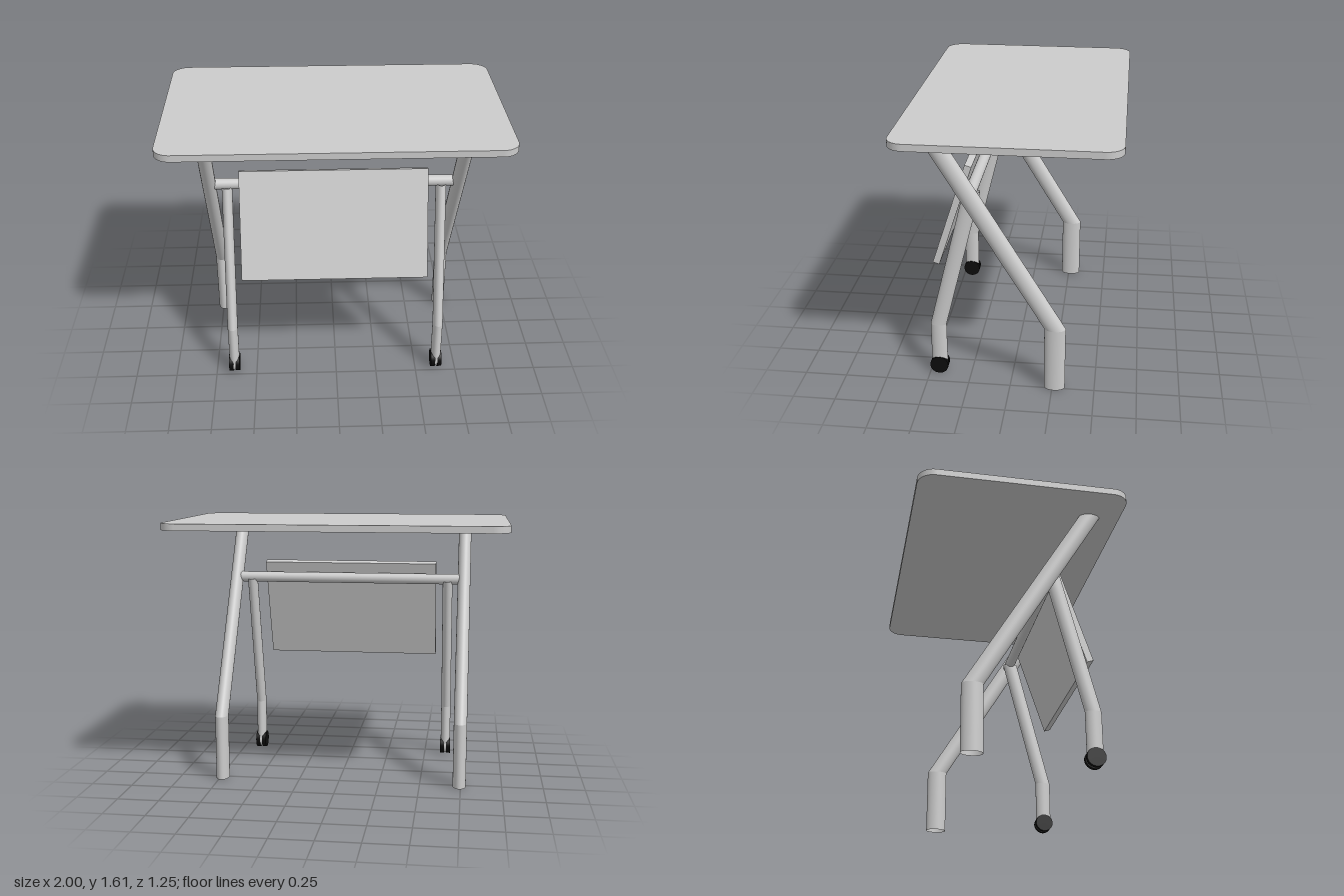
import * as THREE from 'three';

const grey = new THREE.MeshStandardMaterial({ color: 0xcccccc });
const tubeGrey = new THREE.MeshStandardMaterial({ color: 0xcccccc, side: THREE.DoubleSide });
const black = new THREE.MeshStandardMaterial({ color: 0x0c0c0c });

function add(parent, name, geometry, material, x = 0, y = 0, z = 0) {
  const mesh = new THREE.Mesh(geometry, material);
  mesh.name = name;
  mesh.position.set(x, y, z);
  parent.add(mesh);
  return mesh;
}

// Oval tube of level cross-sections through [y, z] points, sheared between them
function ovalLeg(name, x, rx, rz, points) {
  const leg = new THREE.Group();
  leg.name = name;
  for (let i = 1; i < points.length; i++) {
    const [y0, z0] = points[i - 1], [y1, z1] = points[i];
    const shear = new THREE.Matrix4().makeBasis(
      new THREE.Vector3(rx, 0, 0),
      new THREE.Vector3(0, y1 - y0, z1 - z0),
      new THREE.Vector3(0, 0, rz)
    ).setPosition(x, (y0 + y1) / 2, (z0 + z1) / 2);
    const geometry = new THREE.CylinderGeometry(1, 1, 1, 40, 1, true).applyMatrix4(shear);
    add(leg, name + 'Section', geometry, tubeGrey);
  }
  return leg;
}

// Twin-disc wheel around an axle along x
function caster(x, y, z) {
  const wheel = new THREE.Group();
  wheel.name = 'caster';
  const disc = (r, w) => new THREE.CylinderGeometry(r, r, w, 40).rotateZ(Math.PI / 2);
  for (const s of [-1, 1]) add(wheel, 'wheelDisc', disc(0.055, 0.026), black, s * 0.02, 0, 0);
  add(wheel, 'wheelCore', disc(0.05, 0.016), grey);
  wheel.position.set(x, y, z);
  return wheel;
}

function roundedTop(w, d, h, r) {
  const x = w / 2, y = d / 2;
  const s = new THREE.Shape();
  s.absarc(x - r, y - r, r, 0, Math.PI / 2);
  s.absarc(-x + r, y - r, r, Math.PI / 2, Math.PI);
  s.absarc(-x + r, -y + r, r, Math.PI, Math.PI * 1.5);
  s.absarc(x - r, -y + r, r, Math.PI * 1.5, Math.PI * 2);
  return new THREE.ExtrudeGeometry(s, { depth: h, bevelEnabled: false, curveSegments: 16 })
    .rotateX(-Math.PI / 2);
}

export function createModel() {
  const table = new THREE.Group();
  table.name = 'foldingTable';

  add(table, 'tableTop', roundedTop(2, 1.245, 0.04, 0.1), grey, 0, 1.565, 0);

  const frame = new THREE.Group();
  frame.name = 'frame';
  frame.position.x = -0.004;
  table.add(frame);

  // Legs and casters, mirrored
  for (const s of [-1, 1]) {
    frame.add(ovalLeg('rearLeg', s * 0.738, 0.04, 0.0625,
      [[0, -0.263], [0.4, -0.263], [1.567, 0.441]]));
    frame.add(ovalLeg('frontLeg', s * 0.634, 0.031, 0.048,
      [[0.055, 0.443], [0.33, 0.443], [1.2, 0.224]]));
    frame.add(caster(s * 0.634, 0.055, 0.443));
  }

  // Bar joining the legs
  const bar = new THREE.CylinderGeometry(0.033, 0.033, 1.43, 32).rotateZ(Math.PI / 2);
  add(frame, 'crossBar', bar, grey, 0, 1.213, 0.224);

  // Tilted privacy panel in front of the bar
  const panel = add(frame, 'modestyPanel', new THREE.BoxGeometry(1.107, 0.658, 0.041), grey,
    -0.005, 1.001, 0.36);
  panel.rotation.x = -0.316;

  return table;
}
